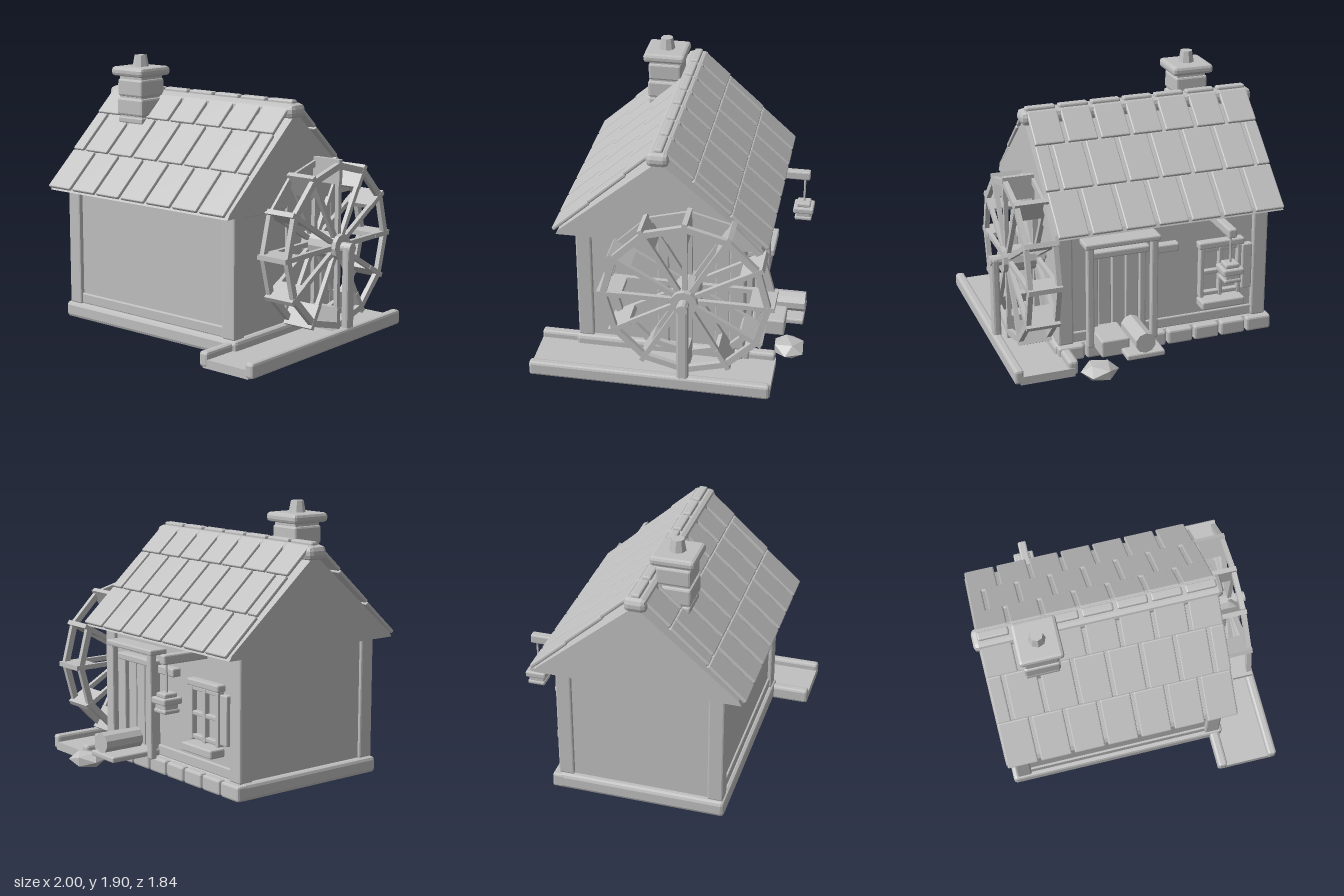
import * as THREE from 'three';
import { RoundedBoxGeometry } from 'three/addons/geometries/RoundedBoxGeometry.js';

const clay = new THREE.MeshStandardMaterial({ color: 0xc0c0c0, flatShading: true });
clay.name = 'plainGrey';

function add(parent, name, geometry, x = 0, y = 0, z = 0) {
  const m = new THREE.Mesh(geometry, clay);
  m.name = name;
  m.position.set(x, y, z);
  parent.add(m);
  return m;
}

// Box given by its limits on each axis, with chamfered edges when bevel > 0
function box(parent, name, [x0, x1], [y0, y1], [z0, z1], bevel = 0) {
  const w = x1 - x0, h = y1 - y0, d = z1 - z0;
  const r = Math.min(bevel, Math.min(w, h, d) * 0.45);
  const g = r > 0 ? new RoundedBoxGeometry(w, h, d, 1, r) : new THREE.BoxGeometry(w, h, d);
  return add(parent, name, g, (x0 + x1) / 2, (y0 + y1) / 2, (z0 + z1) / 2);
}

function group(parent, name) {
  const g = new THREE.Group();
  g.name = name;
  parent.add(g);
  return g;
}

function buildHouse(root) {
  const house = group(root, 'house');
  box(house, 'foundation', [-0.95, 0.65], [0.02, 0.135], [-0.51, 0.67], 0.025);
  box(house, 'walls', [-0.9, 0.6], [0.12, 0.98], [-0.485, 0.625]);
  // Foundation stones along the back
  for (let i = 0; i < 8; i++) {
    const x = -0.95 + i * 0.2;
    box(house, 'foundationStone', [x, x + 0.185], [0.025, 0.13], [-0.555, -0.47], 0.015);
  }
  // Corner posts
  for (const x of [-0.92, 0.515])
    for (const z of [-0.515, 0.545])
      box(house, 'cornerPost', [x, x + 0.11], [0.13, 0.98], [z, z + 0.11], 0.012);
  // Sills and top plates on all four sides
  for (const [y0, y1] of [[0.135, 0.21], [0.935, 0.98]]) {
    box(house, 'frontRail', [-0.82, 0.53], [y0, y1], [0.6, 0.64], 0.008);
    box(house, 'backRail', [-0.82, 0.53], [y0, y1], [-0.5, -0.46], 0.008);
  }
  box(house, 'sidePlate', [0.58, 0.615], [0.935, 0.98], [-0.45, 0.56], 0.008);
  // Studs on the wheel side
  for (const [z0, z1] of [[0.01, 0.09], [-0.41, -0.31]])
    box(house, 'sideStud', [0.58, 0.62], [0.13, 0.97], [z0, z1], 0.008);
}

function buildRoof(root) {
  const roof = group(root, 'roof');
  const ridgeZ = 0.067, pitch = 0.235, tileW = 0.212, angle = 0.733;
  // Solid gable prism under the tiles
  const s = new THREE.Shape([
    new THREE.Vector2(-0.71, 0.97), new THREE.Vector2(0.71, 0.97),
    new THREE.Vector2(0.69, 1.005), new THREE.Vector2(0, 1.59), new THREE.Vector2(-0.69, 1.005),
  ]);
  const g = new THREE.ExtrudeGeometry(s, { depth: 1.64, bevelEnabled: false });
  g.rotateY(Math.PI / 2);
  add(roof, 'gable', g, -0.97, 0, ridgeZ);
  // Three staggered tile rows on each slope
  for (const side of [1, -1]) {
    for (let row = 0; row < 3; row++) {
      const len = row === 2 ? 0.26 : 0.345;
      const d = 0.735 - 0.252 * row - Math.cos(angle) * len / 2;
      const y = 0.995 + 0.238 * row + Math.sin(angle) * len / 2;
      const half = row === 1;
      for (let i = 0; i < (half ? 8 : 7); i++) {
        let x0 = -0.963 + pitch * (half ? i - 0.5 : i), x1 = x0 + tileW;
        x0 = Math.max(x0, -0.963);
        x1 = Math.min(x1, 0.663);
        const t = add(roof, 'roofTile', new RoundedBoxGeometry(x1 - x0, 0.028, len, 1, 0.009),
          (x0 + x1) / 2, y, ridgeZ + side * d);
        t.rotation.x = side * angle;
      }
    }
  }
  // Ridge beam and its cap tiles
  box(roof, 'ridgeBeam', [-1, 0.7], [1.555, 1.652], [-0.005, 0.15], 0.035);
  for (let i = 0; i < 7; i++) {
    const x = -0.963 + pitch * i;
    box(roof, 'ridgeTile', [x, x + tileW], [1.63, 1.675], [0.04, 0.1], 0.012);
  }
}

function buildChimney(root) {
  const c = group(root, 'chimney');
  const cx = -0.59, cz = 0.24;
  const block = (name, half, y0, y1, bevel) =>
    box(c, name, [cx - half, cx + half], [y0, y1], [cz - half, cz + half], bevel);
  block('chimneyCore', 0.105, 1.3, 1.79, 0);
  block('chimneyBase', 0.115, 1.43, 1.475, 0.01);
  block('chimneyBlock', 0.122, 1.485, 1.61, 0.015);
  block('chimneyBlock', 0.117, 1.62, 1.745, 0.015);
  block('chimneyCap', 0.15, 1.765, 1.83, 0.022);
  add(c, 'chimneyPot', new THREE.CylinderGeometry(0.043, 0.06, 0.09, 8), cx, 1.865, cz);
}

function buildWheel(root) {
  const wheel = group(root, 'waterWheel');
  wheel.position.set(0.772, 0.67, -0.145);
  const n = 12;
  // Twelve-sided rings
  const ngon = (target, r) => {
    for (let i = 0; i < n; i++) {
      const a = i / n * Math.PI * 2;
      i ? target.lineTo(r * Math.cos(a), r * Math.sin(a)) : target.moveTo(r, 0);
    }
    target.closePath();
    return target;
  };
  const ring = ngon(new THREE.Shape(), 0.58);
  ring.holes.push(ngon(new THREE.Path(), 0.535));
  const rimGeo = new THREE.ExtrudeGeometry(ring, { depth: 0.034, bevelEnabled: false });
  rimGeo.rotateY(Math.PI / 2);
  for (const x of [-0.116, 0.082]) {
    add(wheel, 'wheelRim', rimGeo, x, 0, 0);
    for (let i = 0; i < n; i++) {
      const a = i / n * Math.PI * 2;
      const spoke = add(wheel, 'spoke', new THREE.BoxGeometry(0.03, 0.5, 0.034),
        x + 0.017, 0.3 * Math.cos(a), 0.3 * Math.sin(a));
      spoke.rotation.x = a;
    }
  }
  // Radial paddles
  for (let i = 0; i < n; i++) {
    const a = i / n * Math.PI * 2;
    const p = add(wheel, 'paddle', new THREE.BoxGeometry(0.235, 0.17, 0.034),
      0, 0.515 * Math.cos(a), 0.515 * Math.sin(a));
    p.rotation.x = a;
  }
  const hub = add(wheel, 'hub', new THREE.CylinderGeometry(0.092, 0.092, 0.29, 12));
  hub.rotation.z = Math.PI / 2;
  const axle = add(wheel, 'axle', new THREE.CylinderGeometry(0.038, 0.038, 0.41, 12), 0.02, 0, 0);
  axle.rotation.z = Math.PI / 2;
  box(root, 'axlePost', [0.935, 0.992], [0.02, 0.695], [-0.185, -0.105], 0.016);
}

function buildChannel(root) {
  const c = group(root, 'waterChannel');
  box(c, 'channelFloor', [0.58, 0.96], [0.01, 0.07], [-0.74, 0.92]);
  box(c, 'outerRail', [0.935, 1], [0.015, 0.12], [-0.74, 0.925], 0.018);
  box(c, 'innerRail', [0.553, 0.622], [0.015, 0.12], [-0.735, 0.925], 0.018);
}

function buildBack(root) {
  const door = group(root, 'doorway');
  // Door planks, posts and lintels
  for (let i = 0; i < 3; i++)
    box(door, 'doorPlank', [0.045 + i * 0.1, 0.137 + i * 0.1], [0.14, 0.76], [-0.515, -0.48], 0.006);
  for (const x of [-0.065, 0.395])
    box(door, 'doorPost', [x, x + 0.05], [0.13, 0.87], [-0.61, -0.56], 0.01);
  for (const x of [0, 0.345])
    box(door, 'doorJamb', [x, x + 0.045], [0.13, 0.8], [-0.54, -0.48], 0.008);
  box(door, 'porchLintel', [-0.08, 0.46], [0.86, 0.9], [-0.62, -0.48], 0.01);
  box(door, 'doorLintel', [-0.02, 0.41], [0.76, 0.81], [-0.56, -0.48], 0.01);
  box(door, 'wallRail', [-0.24, -0.06], [0.73, 0.79], [-0.55, -0.48], 0.01);
  box(door, 'doorStep', [-0.01, 0.26], [0.14, 0.18], [-0.89, -0.48], 0.01);
  box(door, 'sideStep', [0.2, 0.4], [0.13, 0.25], [-0.77, -0.48], 0.01);
  const log = add(door, 'log', new THREE.CylinderGeometry(0.072, 0.072, 0.3, 10), 0.13, 0.255, -0.74);
  log.rotation.x = Math.PI / 2;

  // Window with cross bars, shutter and sill
  const w = group(root, 'window');
  box(w, 'windowPane', [-0.7, -0.42], [0.36, 0.7], [-0.495, -0.47]);
  for (const x of [-0.715, -0.575, -0.435])
    box(w, 'windowUpright', [x, x + 0.03], [0.34, 0.71], [-0.535, -0.48], 0.006);
  for (const y of [0.35, 0.51, 0.68])
    box(w, 'windowBar', [-0.71, -0.41], [y, y + 0.03], [-0.53, -0.48], 0.006);
  box(w, 'shutter', [-0.8, -0.725], [0.36, 0.7], [-0.53, -0.48], 0.008);
  box(w, 'windowHeader', [-0.73, -0.39], [0.71, 0.76], [-0.55, -0.48], 0.01);
  box(w, 'windowSill', [-0.72, -0.4], [0.27, 0.33], [-0.6, -0.48], 0.01);

  // Hanging lantern on a bracket
  const l = group(root, 'lantern');
  const cx = -0.51, cz = -0.797;
  box(l, 'bracket', [cx - 0.03, cx + 0.03], [0.9, 0.965], [-0.835, -0.47], 0.01);
  add(l, 'hanger', new THREE.CylinderGeometry(0.008, 0.008, 0.22, 6), cx, 0.8, cz);
  const tier = (name, half, y0, y1) =>
    box(l, name, [cx - half, cx + half], [y0, y1], [cz - half, cz + half], 0.01);
  tier('lanternFoot', 0.062, 0.58, 0.61);
  tier('lanternBody', 0.055, 0.6, 0.65);
  tier('lanternRoof', 0.074, 0.64, 0.685);
  tier('lanternTop', 0.05, 0.68, 0.715);

  // Faceted rock
  const rock = add(root, 'rock', new THREE.IcosahedronGeometry(0.13, 0), 0.43, 0.066, -0.812);
  rock.scale.set(1.04, 0.48, 0.95);
  rock.rotation.y = 0.4;
}

export function createModel() {
  const root = new THREE.Group();
  root.name = 'waterMill';
  for (const build of [buildHouse, buildRoof, buildChimney, buildWheel, buildChannel, buildBack]) build(root);
  return root;
}
